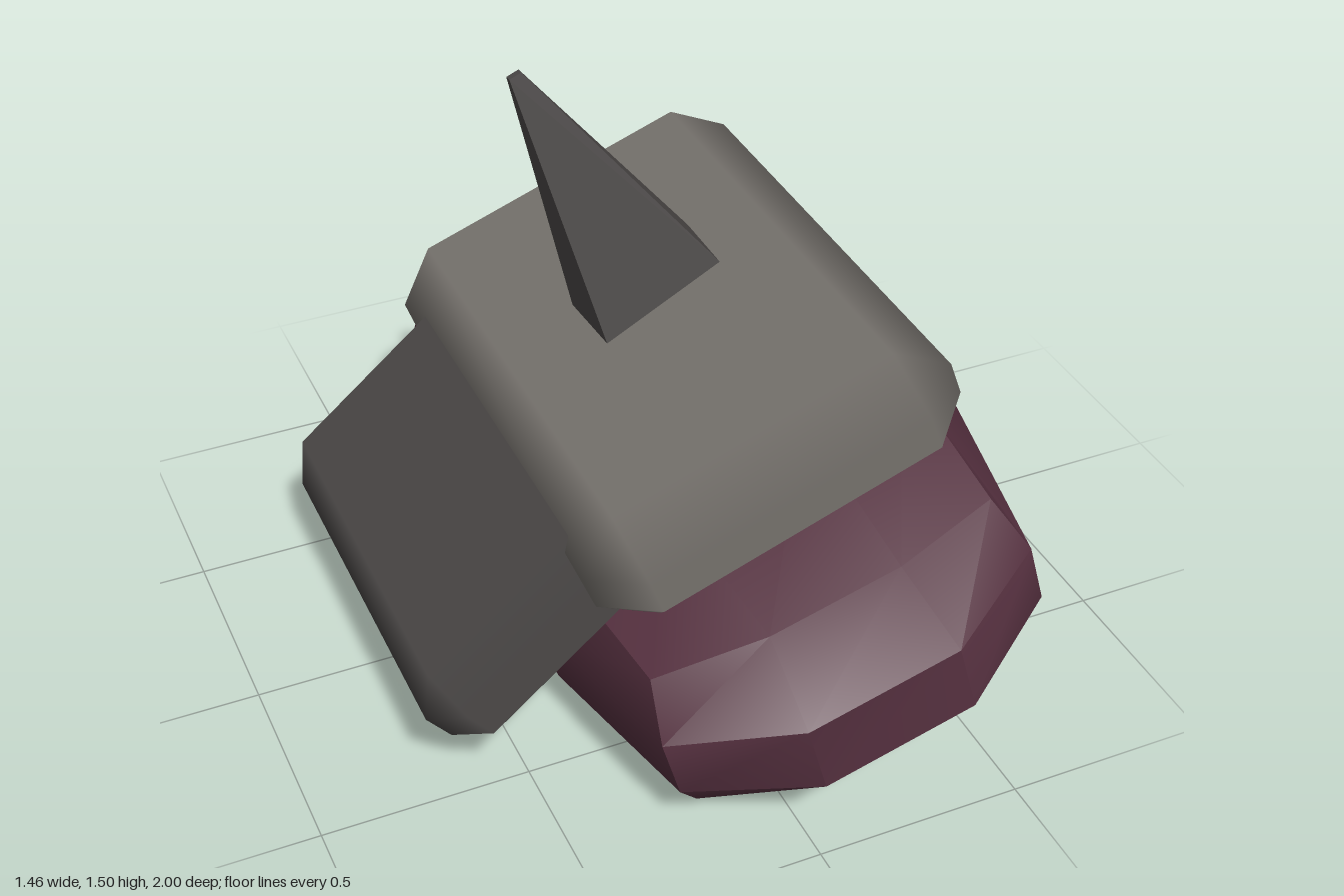
import * as THREE from 'three';
import { toCreasedNormals } from 'three/addons/utils/BufferGeometryUtils.js';
import { ConvexGeometry } from 'three/addons/geometries/ConvexGeometry.js';

const material = (name, color) => {
  const m = new THREE.MeshStandardMaterial({ color });
  m.name = name;
  return m;
};

// Cushion: a 3x3x3 box whose edges and corners are drawn in
function cushionGeometry(hx, hy, hz) {
  const geo = new THREE.BoxGeometry(2, 2, 2, 3, 3, 3);
  const pos = geo.attributes.position;
  const outer = [0, 1, 0.83, 0.76];
  const inner = [0, 0.335, 0.29, 0];
  const half = [hx, hy, hz];
  for (let i = 0; i < pos.count; i++) {
    const p = [pos.getX(i), pos.getY(i), pos.getZ(i)];
    const n = p.filter((c) => Math.abs(c) > 0.9).length;
    const q = p.map((c, k) => Math.sign(c) * half[k] * (Math.abs(c) > 0.9 ? outer[n] : inner[n]));
    pos.setXYZ(i, ...q);
  }
  return toCreasedNormals(geo, THREE.MathUtils.degToRad(40));
}

// Plate: a chamfered box with flat main faces and softly shaded chamfers
function plateGeometry(hx, hy, hz, bevel) {
  const half = [hx, hy, hz];
  const points = [];
  for (const sx of [-1, 1]) for (const sy of [-1, 1]) for (const sz of [-1, 1]) {
    for (let axis = 0; axis < 3; axis++) {
      const c = [sx, sy, sz].map((s, k) => s * (half[k] - (k === axis ? 0 : bevel)));
      points.push(new THREE.Vector3(...c));
    }
  }
  const geo = new ConvexGeometry(points);
  const pos = geo.attributes.position;
  for (let i = 0; i < pos.count; i++) {
    const n = [pos.getX(i), pos.getY(i), pos.getZ(i)].map((c, k) =>
      Math.abs(c) > half[k] - bevel / 2 ? Math.sign(c) : 0);
    geo.attributes.normal.setXYZ(i, ...n);
  }
  return geo;
}

export function createModel() {
  const group = new THREE.Group();
  group.name = 'shoulderArmour';
  const cloth = material('maroonCloth', 0x55303f);
  const steel = material('greySteel', 0x75716c);
  const iron = material('darkIron', 0x4b4847);

  const add = (name, geo, mat, x = 0, y = 0, tilt = 0) => {
    const mesh = new THREE.Mesh(geo, mat);
    mesh.name = name;
    mesh.position.set(x, y, 0);
    mesh.rotation.z = THREE.MathUtils.degToRad(tilt);
    group.add(mesh);
  };

  add('padding', cushionGeometry(0.563, 0.277, 1), cloth, 0.16, 0.355, 15.9);
  add('upperPlate', plateGeometry(0.47, 0.162, 0.703, 0.117), steel, 0.065, 0.73, 20);

  // Lower plate: its inner end is tucked under the upper plate
  const angle = THREE.MathUtils.degToRad(40), halfLength = 0.36;
  add('lowerPlate', plateGeometry(halfLength, 0.136, 0.56, 0.091), iron,
    -0.7 + halfLength * Math.cos(angle), 0.195 + halfLength * Math.sin(angle), 40);

  // Spike: a leaning four-sided taper with a small blunt tip
  const spike = [
    [-0.125, 0.85, 0.097], [0.157, 1.0, 0.097], [-0.13, 0.838, -0.1], [0.167, 0.985, -0.1],
    [-0.288, 1.496, -0.047], [-0.26, 1.508, -0.047], [-0.288, 1.494, -0.066], [-0.259, 1.506, -0.066],
  ].map((p) => new THREE.Vector3(...p));
  add('spike', new ConvexGeometry(spike), iron);

  return group;
}
